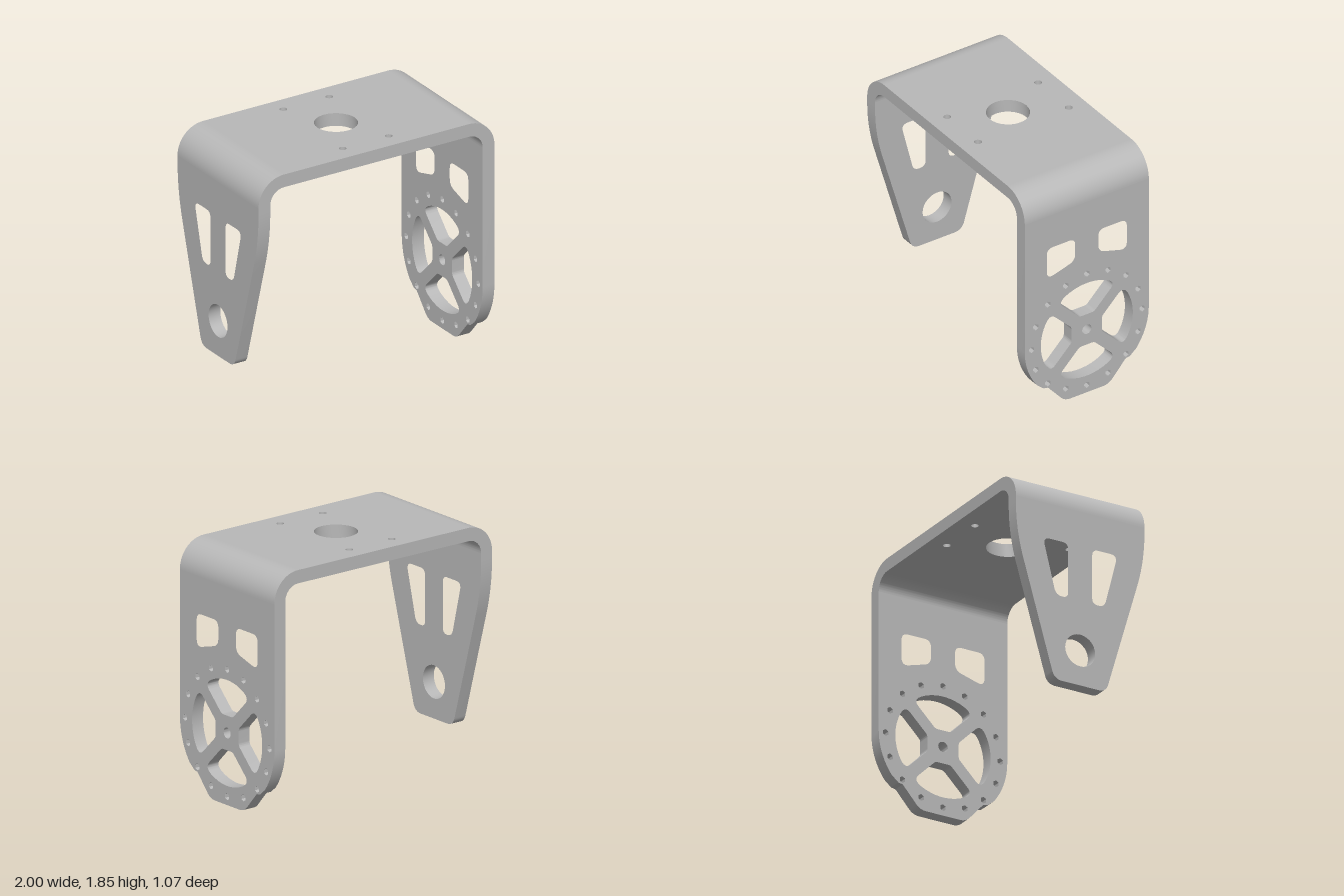
import * as THREE from 'three';
import { toCreasedNormals } from 'three/addons/utils/BufferGeometryUtils.js';

const T = 0.1;          // sheet thickness
const HALF = 0.535;     // half depth of the sheet
const TOP = 1.85;       // top surface height
const R = 0.215;        // outer bend radius
const HUB = 0.54;       // height of the pivot axis

// Traces a closed polygon of [x, y, corner size]; corners with a size are rounded.
function trace(path, pts) {
  const n = pts.length;
  const toward = (a, b, d) => {
    const l = Math.hypot(b[0] - a[0], b[1] - a[1]);
    return [a[0] + ((b[0] - a[0]) * d) / l, a[1] + ((b[1] - a[1]) * d) / l];
  };
  pts.forEach((p, i) => {
    const r = p[2] || 0;
    const start = r ? toward(p, pts[(i + n - 1) % n], r) : p;
    if (i === 0) path.moveTo(start[0], start[1]);
    else path.lineTo(start[0], start[1]);
    if (r) {
      const end = toward(p, pts[(i + 1) % n], r);
      path.quadraticCurveTo(p[0], p[1], end[0], end[1]);
    }
  });
  path.closePath();
  return path;
}

const mirrorX = (pts) => pts.map(([x, y, r]) => [-x, y, r]).reverse();
const symmetric = (pts) => [...pts, ...mirrorX(pts)];
const hole = (pts) => trace(new THREE.Path(), pts);
const round = (x, y, r) => new THREE.Path().absarc(x, y, r, 0, Math.PI * 2, false);
const polar = (r, deg) => [r * Math.cos((deg * Math.PI) / 180), r * Math.sin((deg * Math.PI) / 180)];

function extrude(shape, depth) {
  const g = new THREE.ExtrudeGeometry(shape, { depth, bevelEnabled: false, curveSegments: 14 });
  return g;
}

// Wide mounting plate with the drilled ring and four lightening windows
function wideSideShape() {
  const arc = [];
  for (let a = 0; a >= -41; a -= 4.1) {
    const [x, y] = polar(HALF, a);
    arc.push([x, y + HUB]);
  }
  const shape = trace(new THREE.Shape(), symmetric([
    [HALF, TOP - R], ...arc, [0.372, 0.172], [0.335, 0.165], [0.19, 0, 0.05],
  ]));

  // four windows around the hub
  const rim = [];
  for (let a = 63; a <= 117; a += 6) rim.push(polar(0.397, a));
  const win = [[0.063, 0.13, 0.02], [0.245, 0.312, 0.06], ...rim, [-0.245, 0.312, 0.06], [-0.063, 0.13, 0.02]];
  for (let k = 0; k < 4; k++) {
    const c = [1, 0, -1, 0][k], s = [0, 1, 0, -1][k];
    shape.holes.push(hole(win.map(([x, y, r]) => [x * c - y * s, x * s + y * c + HUB, r])));
  }

  // ring of sixteen six-sided screw holes and the centre hole
  for (let k = 0; k < 16; k++) {
    const [cx, cy] = polar(0.477, k * 22.5);
    const hex = [];
    for (let j = 0; j < 6; j++) {
      const [x, y] = polar(0.026, 30 + j * 60);
      hex.push([cx + x, cy + HUB + y]);
    }
    shape.holes.push(hole(hex));
  }
  shape.holes.push(round(0, HUB, 0.04));

  // pair of upper cutouts
  const cutout = [[0.1, 1.355, 0.055], [0.345, 1.355, 0.055], [0.345, 1.097, 0.065], [0.1, 1.168, 0.055]];
  shape.holes.push(hole(cutout), hole(mirrorX(cutout)));
  return shape;
}

// Tapered plate with a pivot hole and two slots
function taperedSideShape() {
  const shape = trace(new THREE.Shape(), symmetric([
    [HALF, TOP - R], [HALF, 1.37, 0.22], [0.215, 0.265, 0.065],
  ]));
  const slot = [[0.1, 1.36, 0.05], [0.31, 1.36, 0.06], [0.202, 0.93, 0.05], [0.1, 0.93, 0.045]];
  shape.holes.push(round(0, HUB, 0.125), hole(slot), hole(mirrorX(slot)));
  return shape;
}

// Top plate with a large centre hole and four screw holes
function topShape() {
  const w = 1 - R;
  const shape = trace(new THREE.Shape(), [[-w, -HALF], [w, -HALF], [w, HALF], [-w, HALF]]);
  shape.holes.push(round(0, 0, 0.158));
  for (const x of [-0.195, 0.195]) {
    for (const z of [-0.392, 0.392]) shape.holes.push(round(x, z, 0.028));
  }
  return shape;
}

// Quarter-round bend joining the top to one side
function bendShape() {
  const shape = new THREE.Shape();
  shape.absarc(0, 0, R, 0, Math.PI / 2, false);
  shape.absarc(0, 0, R - T, Math.PI / 2, 0, true);
  shape.closePath();
  return shape;
}

export function createModel() {
  const group = new THREE.Group();
  group.name = 'bracket';
  const metal = new THREE.MeshStandardMaterial({ color: 0xb8b8b8 });
  metal.name = 'grey metal';

  const add = (name, geometry) => {
    const mesh = new THREE.Mesh(toCreasedNormals(geometry, 0.5), metal);
    mesh.name = name;
    group.add(mesh);
  };

  add('topPlate', extrude(topShape(), T).rotateX(Math.PI / 2).translate(0, TOP, 0));
  add('wideSidePlate', extrude(wideSideShape(), T).rotateY(Math.PI / 2).translate(1 - T, 0, 0));
  add('taperedSidePlate', extrude(taperedSideShape(), T).rotateY(Math.PI / 2).translate(-1, 0, 0));

  const bend = extrude(bendShape(), HALF * 2).translate(0, 0, -HALF);
  add('leftBend', bend.clone().translate(1 - R, TOP - R, 0));
  add('rightBend', bend.clone().rotateY(Math.PI).translate(R - 1, TOP - R, 0));
  return group;
}
